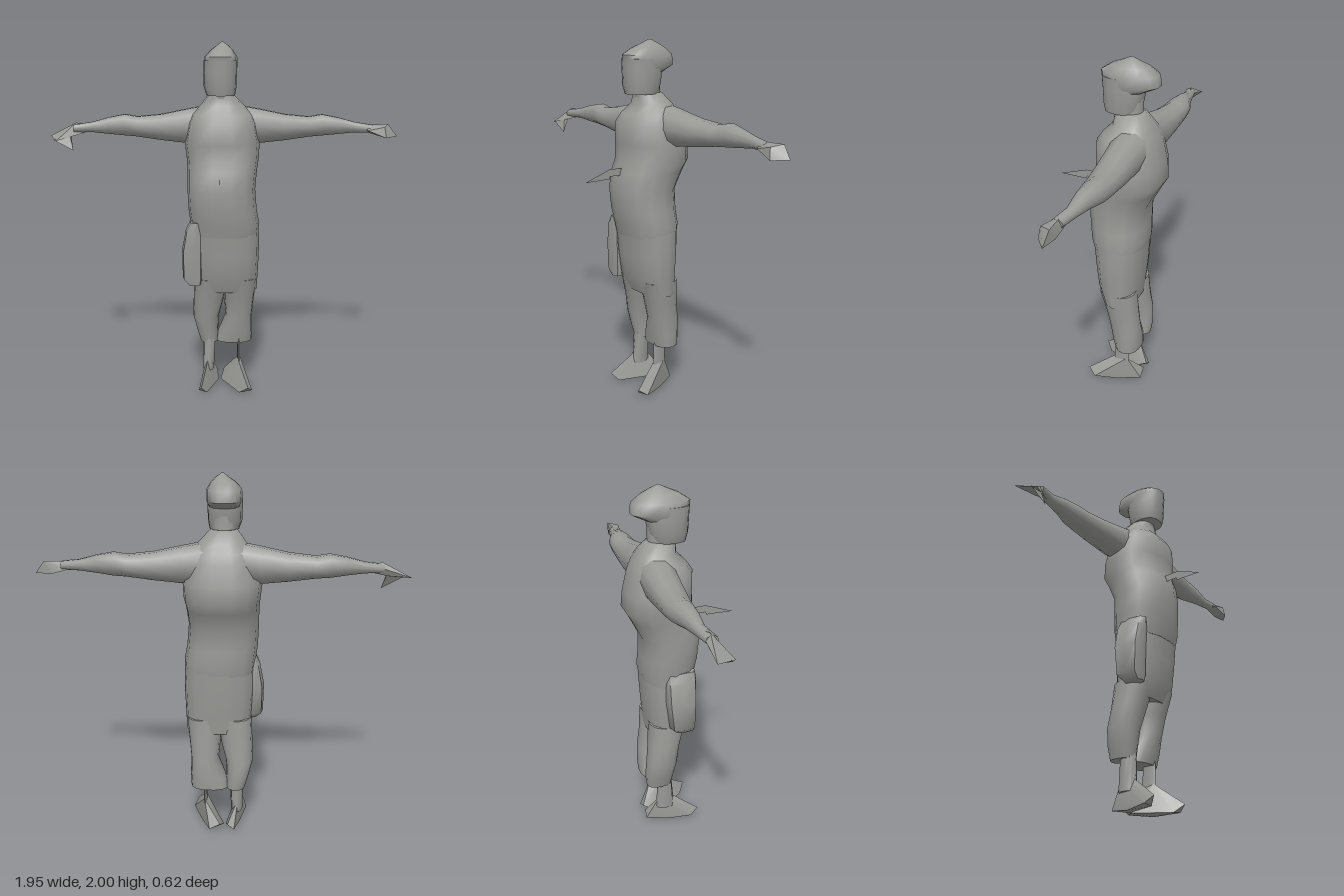
import * as THREE from 'three';
import { toCreasedNormals } from 'three/addons/utils/BufferGeometryUtils.js';
import { ConvexGeometry } from 'three/addons/geometries/ConvexGeometry.js';

const stone = new THREE.MeshStandardMaterial({ color: 0x999996 });
stone.name = 'stone grey';
const stoneSheet = new THREE.MeshStandardMaterial({ color: 0x999996, side: THREE.DoubleSide });
stoneSheet.name = 'stone grey sheet';

// Skin through rounded sections [t, uMin, uMax, wMin, wMax].
// Along y: u = x, w = z. Along x: u = z, w = y. Lower 'round' is boxier.
function loft(sections, { alongX = false, round = 0.85, sides = 14 } = {}) {
  const pos = [], index = [];
  const put = (u, t, w) => (alongX ? pos.push(t, w, u) : pos.push(u, t, w));
  const bend = (v) => Math.sign(v) * Math.abs(v) ** round;
  for (const [t, u0, u1, w0, w1] of sections) {
    for (let j = 0; j < sides; j++) {
      const a = (j / sides) * Math.PI * 2;
      put((u0 + u1) / 2 + bend(Math.cos(a)) * (u1 - u0) / 2, t, (w0 + w1) / 2 - bend(Math.sin(a)) * (w1 - w0) / 2);
    }
  }
  const last = sections.length - 1;
  for (const i of [0, last]) {
    const [t, u0, u1, w0, w1] = sections[i];
    put((u0 + u1) / 2, t, (w0 + w1) / 2);
  }
  const bottom = sections.length * sides;
  for (let j = 0; j < sides; j++) {
    const k = (j + 1) % sides;
    for (let i = 0; i < last; i++) {
      const a = i * sides + j, b = i * sides + k;
      index.push(a, b, b + sides, a, b + sides, a + sides);
    }
    index.push(bottom, k, j, bottom + 1, last * sides + j, last * sides + k);
  }
  const g = new THREE.BufferGeometry();
  g.setAttribute('position', new THREE.Float32BufferAttribute(pos, 3));
  g.setIndex(index);
  return toCreasedNormals(g, 1.0);
}

const hull = (points) => toCreasedNormals(new ConvexGeometry(points.map((p) => new THREE.Vector3(...p))), 0.5);

export function createModel() {
  const model = new THREE.Group();
  const add = (name, geometry, material = stone) => {
    const mesh = new THREE.Mesh(geometry, material);
    mesh.name = name;
    model.add(mesh);
  };

  // Tunic, with a hump on the back
  add('torso', loft([
    [0.94, -0.185, 0.195, -0.22, 0.06],
    [1.0, -0.19, 0.2, -0.23, 0.075],
    [1.08, -0.2, 0.185, -0.225, 0.09],
    [1.2, -0.205, 0.175, -0.225, 0.1],
    [1.3, -0.205, 0.185, -0.275, 0.085],
    [1.36, -0.21, 0.195, -0.31, 0.06],
    [1.45, -0.22, 0.2, -0.3, 0.055],
    [1.56, -0.2, 0.18, -0.275, 0.06],
    [1.61, -0.18, 0.16, -0.255, 0.025],
    [1.66, -0.13, 0.11, -0.225, -0.025],
    [1.72, -0.085, 0.05, -0.18, -0.025],
  ]));
  add('neck', loft([
    [1.6, -0.085, 0.05, -0.18, -0.04],
    [1.7, -0.08, 0.045, -0.17, -0.025],
    [1.82, -0.08, 0.045, -0.17, -0.02],
  ]));

  // Head: face with a long chin, and a cap jutting out at the back
  add('face', loft([
    [1.715, -0.095, 0.06, -0.15, 0.03],
    [1.76, -0.11, 0.068, -0.165, 0.04],
    [1.84, -0.112, 0.07, -0.18, 0.045],
    [1.9, -0.11, 0.07, -0.18, 0.05],
  ]));
  add('cap', loft([
    [1.83, -0.1, 0.06, -0.185, 0.03],
    [1.865, -0.113, 0.073, -0.258, 0.045],
    [1.92, -0.108, 0.072, -0.252, 0.053],
    [1.955, -0.075, 0.05, -0.205, 0.0],
    [1.98, -0.04, 0.025, -0.155, -0.06],
    [2.0, -0.015, -0.005, -0.115, -0.105],
  ]));

  // Sleeves, running outward from inside the torso
  const leftSleeve = [
    [0.04, -0.25, -0.04, 1.45, 1.67],
    [0.2, -0.245, -0.06, 1.445, 1.64],
    [0.34, -0.242, -0.075, 1.46, 1.61],
    [0.48, -0.24, -0.095, 1.48, 1.595],
    [0.55, -0.236, -0.11, 1.485, 1.608],
    [0.64, -0.205, -0.115, 1.495, 1.59],
    [0.73, -0.185, -0.125, 1.505, 1.565],
    [0.83, -0.165, -0.105, 1.505, 1.55],
  ];
  const mirrored = leftSleeve.map(([x, ...rest]) => [-x - 0.01, ...rest]).reverse();
  add('leftArm', loft(leftSleeve, { alongX: true, sides: 10, round: 0.95 }));
  add('rightArm', loft(mirrored, { alongX: true, sides: 10, round: 0.95 }));

  // Hands
  add('leftHand', hull([
    [0.79, 1.51, -0.16], [0.79, 1.55, -0.14], [0.8, 1.52, -0.1], [0.92, 1.552, -0.15],
    [0.97, 1.485, -0.14], [0.9, 1.48, -0.08], [0.88, 1.485, -0.155], [0.89, 1.54, -0.09],
  ]));
  add('rightHand', hull([
    [-0.77, 1.55, -0.165], [-0.78, 1.505, -0.14], [-0.83, 1.56, -0.14],
    [-0.98, 1.485, -0.165], [-0.93, 1.465, -0.06], [-0.86, 1.49, -0.15],
  ]));
  add('rightThumb', hull([
    [-0.86, 1.5, -0.13], [-0.95, 1.47, -0.08], [-0.86, 1.49, -0.1], [-0.84, 1.41, -0.08],
  ]));

  // Baggy trousers: seat, then two legs of unequal width
  add('trouserSeat', loft([
    [0.6, -0.165, 0.19, -0.195, -0.01],
    [0.7, -0.175, 0.195, -0.205, 0.03],
    [0.82, -0.185, 0.2, -0.215, 0.045],
    [0.92, -0.185, 0.2, -0.22, 0.055],
    [1.01, -0.18, 0.195, -0.225, 0.07],
  ]));
  add('leftTrouserLeg', loft([
    [0.27, -0.05, 0.165, -0.228, -0.08],
    [0.34, -0.03, 0.168, -0.232, -0.065],
    [0.44, 0.01, 0.165, -0.225, -0.05],
    [0.54, 0.0, 0.175, -0.21, -0.03],
    [0.68, 0.0, 0.19, -0.2, 0.01],
  ]));
  add('rightTrouserLeg', loft([
    [0.27, -0.14, -0.035, -0.225, -0.08],
    [0.34, -0.16, -0.035, -0.232, -0.065],
    [0.43, -0.183, -0.03, -0.225, -0.05],
    [0.54, -0.178, 0.0, -0.21, -0.03],
    [0.68, -0.172, 0.02, -0.2, 0.01],
  ]));

  // Pouch hanging over the right hip
  add('hipPouch', loft([
    [0.655, -0.2, -0.13, -0.08, 0.03],
    [0.69, -0.235, -0.12, -0.11, 0.035],
    [0.85, -0.238, -0.12, -0.13, 0.04],
    [0.97, -0.215, -0.12, -0.13, 0.045],
    [1.02, -0.19, -0.12, -0.12, 0.04],
  ], { sides: 8, round: 0.6 }));

  // Ankles and outward-turned feet; the right pair is narrower
  const toRight = (x) => -0.03 - (x + 0.02) * 0.62;
  const foot = [
    [0.082, 0.17, -0.08], [0.092, 0.17, -0.15], [0.165, 0.02, 0.03], [0.14, 0.055, 0.078],
    [0.09, 0.01, 0.04], [-0.02, 0.01, -0.15], [0.0, 0.05, -0.225], [0.06, 0.02, -0.228], [0.11, 0.005, -0.1],
  ];
  add('leftFoot', hull(foot));
  add('rightFoot', hull(foot.map(([x, y, z]) => [toRight(x), y, z])));
  add('leftAnkle', loft([[0.14, 0.078, 0.098, -0.16, -0.07], [0.3, 0.08, 0.095, -0.155, -0.075]], { sides: 8 }));
  add('rightAnkle', loft([[0.1, -0.125, -0.06, -0.17, -0.06], [0.3, -0.125, -0.05, -0.16, -0.075]], { sides: 8 }));

  // Thin blade sticking out of the belly
  const outline = [[0.05, 1.32], [0.15, 1.325], [0.31, 1.27], [0.155, 1.27], [0.15, 1.285], [0.05, 1.28]];
  const blade = new THREE.ShapeGeometry(new THREE.Shape(outline.map(([z, y]) => new THREE.Vector2(z, y))));
  blade.rotateY(-Math.PI / 2).translate(-0.02, 0, 0);
  add('blade', blade, stoneSheet);

  return model;
}
